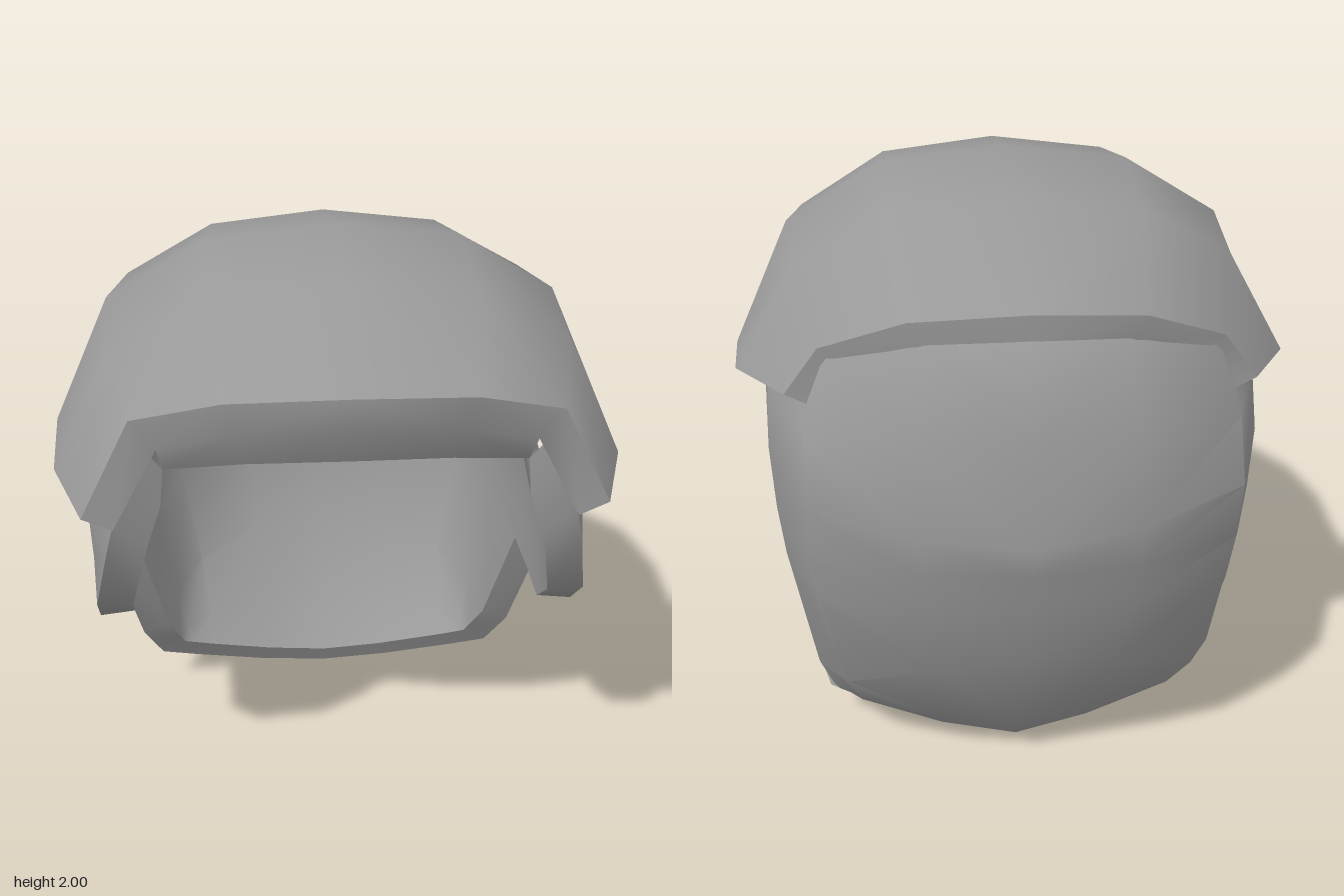
import * as THREE from 'three';
import { toCreasedNormals } from 'three/addons/utils/BufferGeometryUtils.js';

const material = new THREE.MeshStandardMaterial({ color: 0x999999 });
const { lerp } = THREE.MathUtils;

// Collects quads on the left half and mirrors each to the right half
function mirroredMesh(name, quads) {
  const pos = [];
  const tri = (a, b, c) => pos.push(...a, ...b, ...c);
  const flip = ([x, y, z]) => [-x, y, z];
  for (const [a, b, c, d] of quads) {
    tri(a, b, c);
    tri(a, c, d);
    const [e, f, g, h] = [a, b, c, d].map(flip);
    tri(e, g, f);
    tri(e, h, g);
  }
  const geo = new THREE.BufferGeometry();
  geo.setAttribute('position', new THREE.Float32BufferAttribute(pos, 3));
  const mesh = new THREE.Mesh(toCreasedNormals(geo, 0.85), material);
  mesh.name = name;
  return mesh;
}

// Quads between neighbouring rows; shorter rows leave the space beyond them open
function gridQuads(rows, reverse) {
  const quads = [];
  for (let r = 0; r + 1 < rows.length; r++) {
    const n = Math.min(rows[r].length, rows[r + 1].length);
    for (let c = 0; c + 1 < n; c++) {
      const q = [rows[r][c], rows[r + 1][c], rows[r + 1][c + 1], rows[r][c + 1]];
      quads.push(reverse ? q.reverse() : q);
    }
  }
  return quads;
}

// Band joining two edges of equal length
const bandQuads = (q, p) => q.slice(1).map((_, i) => [q[i], p[i], p[i + 1], q[i + 1]]);

// Shell sections, bottom to top: back height and depth, side point, front edge point
const shellSections = [
  { back: [0, -.41], side: [.655, .16, -.28], round: 0 },
  { back: [.14, -.55], side: [.675, .21, -.25], round: .5 },
  { back: [.57, -.765], side: [.715, .33, -.17], round: .8 },
  { back: [.8, -.83], side: [.8, .78, -.02], front: [.79, .78, .4] },
  { back: [.93, -.86], side: [.82, .95, .02], front: [.77, .94, .59] },
  { back: [1.04, -.89], side: [.83, 1.17, .05], front: [.71, 1.19, .72] },
  { back: [1.35, -.81], side: [.82, 1.33, .07], front: [.68, 1.3, .74] },
  { back: [1.63, -.745], side: [.72, 1.56, .08], front: [.63, 1.45, .75] },
  { back: [1.72, -.58], side: [.62, 1.73, .08], front: [.615, 1.59, .75] },
  { back: [1.87, -.34], side: [.39, 1.88, .09], front: [.34, 1.65, .84] },
  { back: [1.87, -.34], side: [0, 1.94, .1], front: [0, 1.67, .88] },
];

// Width and depth of the squarish quarter arc from back to side
const arc = [[0, 1], [.4, .957], [.8, .81], [.95, .45], [1, 0]];

// Half row: the arc, flattened where less round, then a bulged step to the front
function shellRow({ back: [by, bz], side: [sx, sy, sz], front, round = 1 }) {
  const row = arc.map(([w, depth]) => {
    const rise = w ** 1.5;
    return [sx * w, lerp(by, sy, rise), lerp(sz, bz, lerp(1 - rise, depth, round))];
  });
  if (front) {
    const [fx, fy, fz] = front;
    row.push([lerp(sx, fx, .25), lerp(sy, fy, .25), lerp(sz, fz, .5)], front);
  }
  return row;
}

// Cap sections, front to back: centre height and depth, corner width and height, side point
const capSections = [
  { mid: [1.74, .9], corner: [.61, 1.64], side: [.765, 1.34, .77] },
  { mid: [1.945, .52], corner: [.69, 1.73], side: [.88, 1.347, .45] },
  { mid: [2, .1], corner: [.72, 1.77], side: [.915, 1.355, .08] },
  { mid: [1.93, -.35], corner: [.68, 1.74], side: [.88, 1.4, -.28] },
  { mid: [1.71, -.74], corner: [.6, 1.58], side: [.705, 1.44, -.6] },
];

// Half row from the centre line over the corner to the side edge
function capRow({ mid: [my, mz], corner: [cx, cy], side }) {
  const z = side[2];
  return [[0, my, mz], [cx * .57, lerp(my, cy, .2), lerp(mz, z, .3)], [cx, cy, z], side];
}

const rowEnds = rows => rows.map(r => r[r.length - 1]);

// Edge of the opening, from the nape round the ear to the corner of the brow
function openingEdge(rows) {
  const ends = rowEnds(rows);
  return [...rows[0], ...ends.slice(1, 3), ...rows[3].slice(4), ...ends.slice(4, -2)];
}

// Edge of the cap, from the front centre round the side to the back centre
function capEdge(rows) {
  const last = rows.length - 1;
  return [...rows[0], ...rows.slice(1, last).map(r => r[3]), ...[...rows[last]].reverse()];
}

export function createModel() {
  const group = new THREE.Group();
  group.name = 'helmet';

  // Shell: outer skin, inner lining and thick rim around the opening
  const skin = shellSections.map(shellRow);
  const lining = skin.map(row => row.map(([x, y, z]) => [
    x * .86,
    .8 + (y - .8) * (y < .8 ? .9 : .84),
    z * (z < 0 ? .9 : .955),
  ]));
  group.add(mirroredMesh('shell', [
    ...gridQuads(skin, false),
    ...gridQuads(lining, true),
    ...bandQuads(openingEdge(lining), openingEdge(skin)),
  ]));

  // Cap: overlapping plate whose front lip rolls under the brow to the lining
  const plate = capSections.map(capRow);
  const underside = plate.map((row, r) => row.map(([x, y, z], c) => {
    const lip = r === 0 || r === plate.length - 1;
    return [x * .885, y - (c === 3 ? .04 : lip ? .09 : .05), z];
  }));
  const brow = rowEnds(lining).slice(-3).reverse();
  group.add(mirroredMesh('cap', [
    ...gridQuads(plate, true),
    ...gridQuads(underside, false),
    ...bandQuads(capEdge(plate), capEdge(underside)),
    ...bandQuads(underside[0].slice(0, 3), brow),
  ]));

  return group;
}
